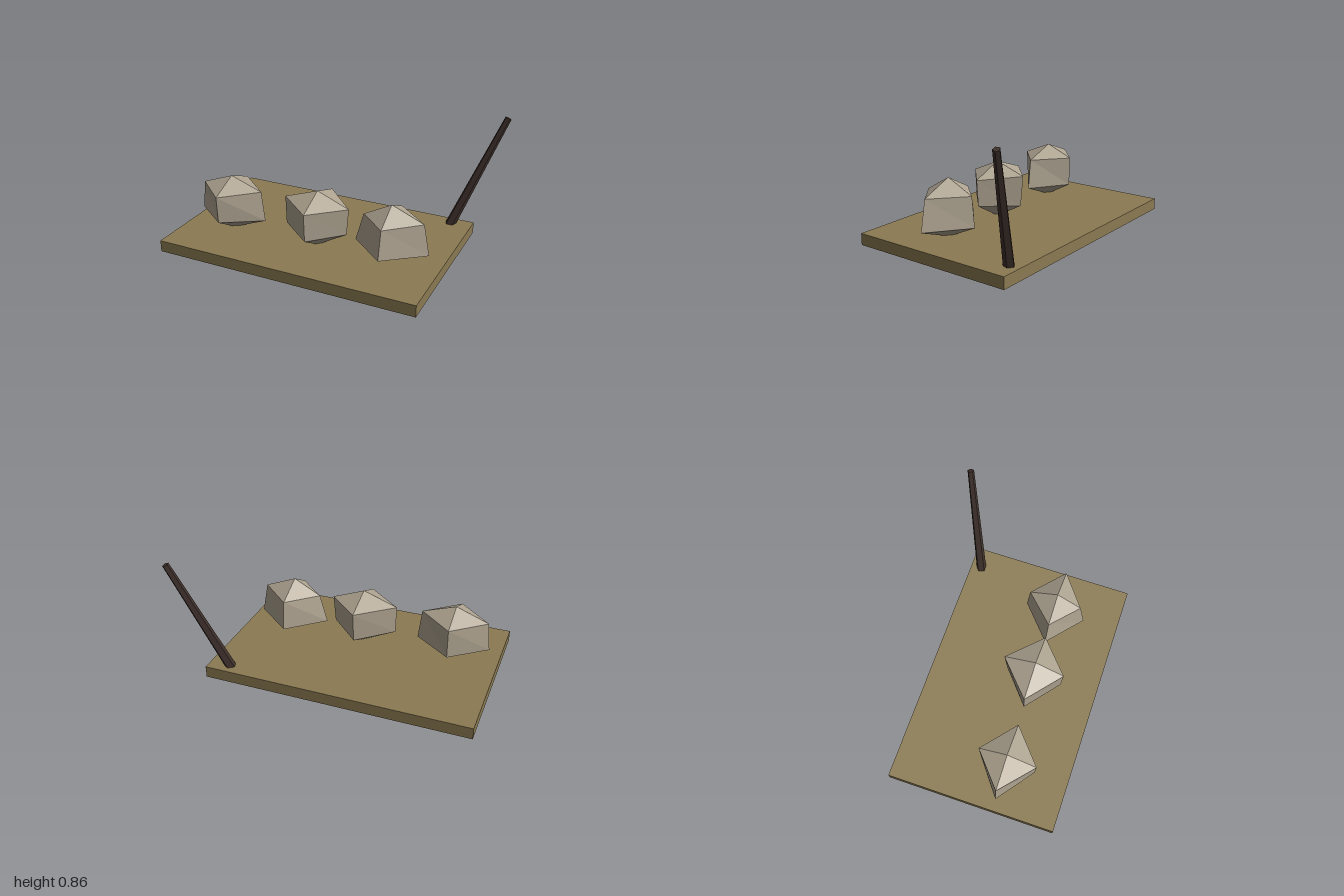
import * as THREE from 'three';

const mat = (name, color) => {
  const m = new THREE.MeshStandardMaterial({ color, flatShading: true });
  m.name = name;
  return m;
};

// Chipped stone: two four-cornered rings closed by a point above and below.
// Ring corners run right, front, left, back as [x, y, z].
function rockGeometry(top, upper, lower, bottom) {
  const pos = [];
  const tri = (a, b, c) => pos.push(...a, ...b, ...c);
  for (let i = 0; i < 4; i++) {
    const j = (i + 1) % 4;
    tri(top, upper[j], upper[i]);
    tri(upper[i], upper[j], lower[i]);
    tri(upper[j], lower[j], lower[i]);
    tri(lower[i], lower[j], bottom);
  }
  const g = new THREE.BufferGeometry();
  g.setAttribute('position', new THREE.Float32BufferAttribute(pos, 3));
  g.computeVertexNormals();
  return g;
}

export function createModel() {
  const group = new THREE.Group();
  const wood = mat('board wood', 0x8b7a52);
  const stone = mat('pale stone', 0xb0a592);
  const dark = mat('dark wood', 0x3e302b);
  const add = (name, geometry, material) => {
    const mesh = new THREE.Mesh(geometry, material);
    mesh.name = name;
    group.add(mesh);
    return mesh;
  };

  // Flat base board
  add('board', new THREE.BoxGeometry(1.82, 0.08, 1.17), wood).position.set(-0.09, 0.04, 0.05);

  // Three stones in a row, their lower points sunk into the board
  const rocks = [
    { name: 'rightRock', x: -0.685, z: 0.21, top: 0.45,
      upper: [[-0.455, 0.37, 0.21], [-0.685, 0.365, 0.41], [-0.91, 0.365, 0.21], [-0.685, 0.37, 0.015]],
      lower: [[-0.43, 0.16, 0.21], [-0.685, 0.175, 0.4], [-0.93, 0.165, 0.21], [-0.685, 0.165, 0.02]] },
    { name: 'middleRock', x: -0.04, z: 0.19, top: 0.455,
      upper: [[0.185, 0.365, 0.19], [-0.04, 0.365, 0.39], [-0.28, 0.37, 0.19], [-0.04, 0.38, -0.03]],
      lower: [[0.17, 0.18, 0.19], [-0.04, 0.17, 0.38], [-0.275, 0.175, 0.19], [-0.04, 0.17, -0.01]] },
    { name: 'leftRock', x: 0.475, z: 0.18, top: 0.457,
      upper: [[0.695, 0.365, 0.18], [0.475, 0.354, 0.352], [0.285, 0.355, 0.18], [0.475, 0.365, -0.015]],
      lower: [[0.735, 0.155, 0.18], [0.475, 0.16, 0.39], [0.23, 0.16, 0.18], [0.475, 0.16, -0.035]] },
  ];
  for (const r of rocks) {
    add(r.name, rockGeometry([r.x, r.top, r.z], r.upper, r.lower, [r.x, 0.06, r.z]), stone);
  }

  // Leaning tapered stick in the back corner
  const foot = new THREE.Vector3(0.667, 0.06, -0.456);
  const tip = new THREE.Vector3(0.975, 0.853, -0.612);
  const axis = tip.clone().sub(foot);
  const stickGeometry = new THREE.CylinderGeometry(0.023, 0.037, axis.length(), 5);
  stickGeometry.rotateY(Math.PI / 5);
  const stick = add('stick', stickGeometry, dark);
  stick.position.copy(foot).add(tip).multiplyScalar(0.5);
  stick.quaternion.setFromUnitVectors(new THREE.Vector3(0, 1, 0), axis.normalize());

  return group;
}
